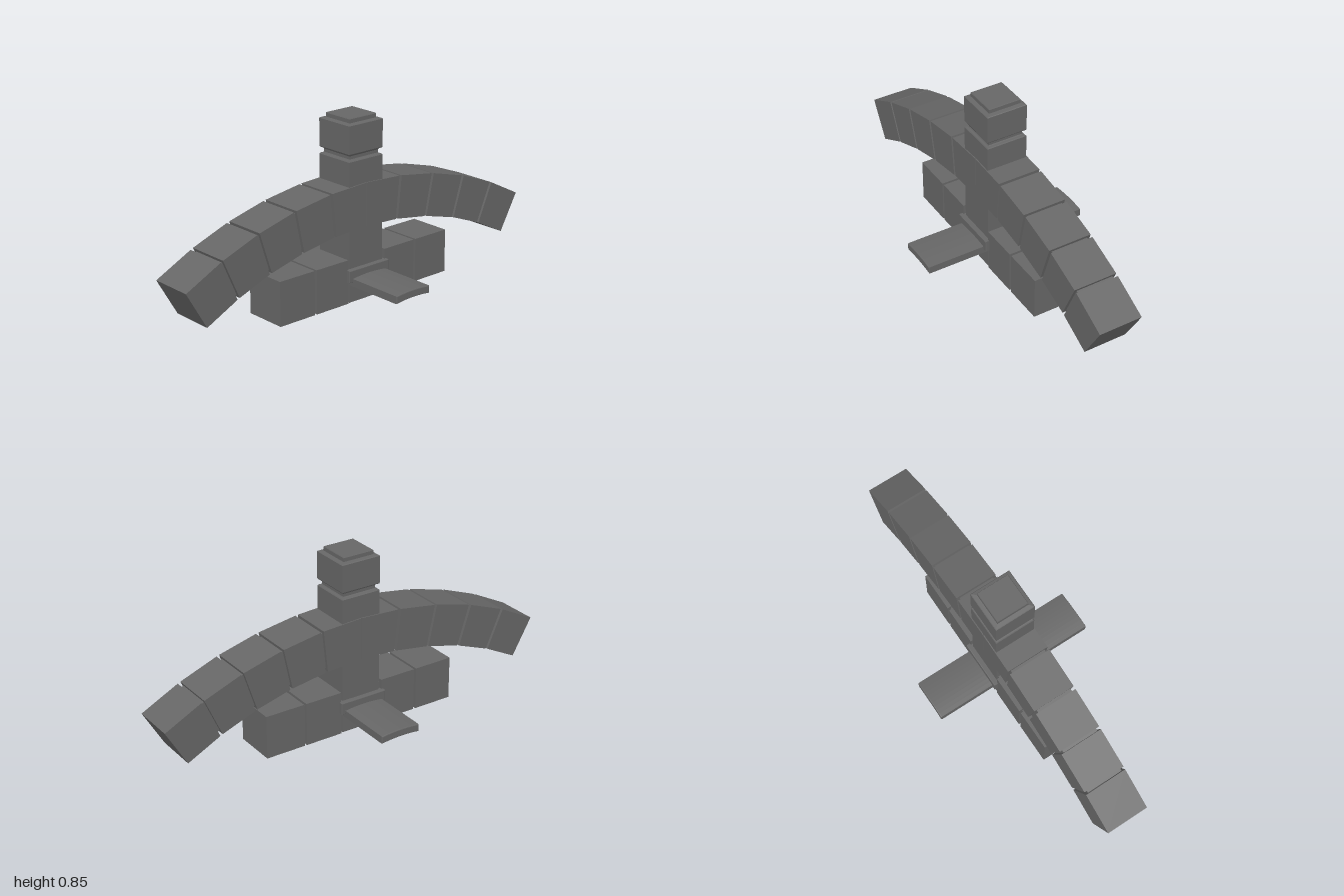
import * as THREE from 'three';

const material = new THREE.MeshStandardMaterial({ color: 0x666666, flatShading: true });

function add(group, name, geometry) {
  const mesh = new THREE.Mesh(geometry, material);
  mesh.name = name;
  group.add(mesh);
  return mesh;
}

function box(group, name, w, h, d, x, y, z) {
  add(group, name, new THREE.BoxGeometry(w, h, d)).position.set(x, y, z);
}

// Extrudes an outline in x/y symmetrically along z
function slab(points, depth, bevel = 0) {
  const shape = new THREE.Shape(points.map(([x, y]) => new THREE.Vector2(x, y)));
  const geometry = new THREE.ExtrudeGeometry(shape, {
    depth: depth - 2 * bevel, bevelEnabled: bevel > 0, bevelSize: bevel,
    bevelThickness: bevel, bevelOffset: -bevel, bevelSegments: 2,
  });
  return geometry.translate(0, 0, -depth / 2 + bevel);
}

// Wedge block of the arch between two angles from the vertical
const ARCH_Y = 0.552 - 2.02;
function wedge(inner, outer, a0, a1, depth) {
  const p = (r, a) => [r * Math.sin(a), ARCH_Y + r * Math.cos(a)];
  return slab([p(inner, a0), p(inner, a1), p(outer, a1), p(outer, a0)], depth);
}

export function createModel() {
  const root = new THREE.Group();
  root.name = 'blockModel';

  // Arched row: five wedge blocks on each side, joined by narrower cores
  const arch = new THREE.Group();
  arch.name = 'archedRow';
  root.add(arch);
  const step = THREE.MathUtils.degToRad(29.68) / 5;
  const gap = 0.0035;
  for (const side of [-1, 1]) {
    for (let i = 0; i < 5; i++) {
      const start = i * step + (i > 0 ? gap : 0.0008);
      const end = (i + 1) * step - (i < 4 ? gap : 0);
      const [a0, a1] = side > 0 ? [start, end] : [-end, -start];
      add(arch, 'archBlock', wedge(1.815, 2.02, a0, a1, 0.21));
      if (i < 4) {
        const c = side * (i + 1) * step;
        add(arch, 'archJoint', wedge(1.83, 2.005, c - 2 * gap, c + 2 * gap, 0.18));
      }
    }
  }

  // Straight lower row with recessed joints
  const row = new THREE.Group();
  row.name = 'lowerRow';
  root.add(row);
  for (const side of [-1, 1]) {
    box(row, 'outerBlock', 0.197, 0.21, 0.21, side * 0.4075, 0.105, 0);
    box(row, 'innerBlock', 0.186, 0.21, 0.21, side * 0.204, 0.105, 0);
    box(row, 'outerJoint', 0.03, 0.18, 0.18, side * 0.303, 0.105, 0);
    box(row, 'innerJoint', 0.03, 0.18, 0.18, side * 0.105, 0.105, 0);
  }

  // Square post with neck, head and cap
  const profile = [
    [0, 0], [0.1, 0], [0.1, 0.662], [0.097, 0.666], [0.088, 0.667], [0.085, 0.671],
    [0.085, 0.685], [0.088, 0.69], [0.098, 0.694], [0.1, 0.698], [0.1, 0.827], [0.097, 0.83],
    [0.079, 0.833], [0.079, 0.851], [0.077, 0.854], [0, 0.854],
  ].map(([r, y]) => new THREE.Vector2(r * Math.SQRT2, y));
  add(root, 'centrePost', new THREE.LatheGeometry(profile, 4).rotateY(Math.PI / 4));

  // Gently bowed plank running front to back
  const under = [];
  for (let i = 0; i <= 10; i++) {
    const x = -0.1 + 0.02 * i;
    under.push([x, 0.094 - 0.7 * x * x]);
  }
  const upper = under.map(([x, y]) => [x, y + 0.036]).reverse();
  add(root, 'crossPlank', slab([...under, ...upper], 0.818, 0.004));

  // Collar holding the plank
  add(root, 'collar', slab([
    [-0.12, 0.106], [0.12, 0.106], [0.12, 0.163], [-0.12, 0.163],
  ], 0.248, 0.003));

  return root;
}
